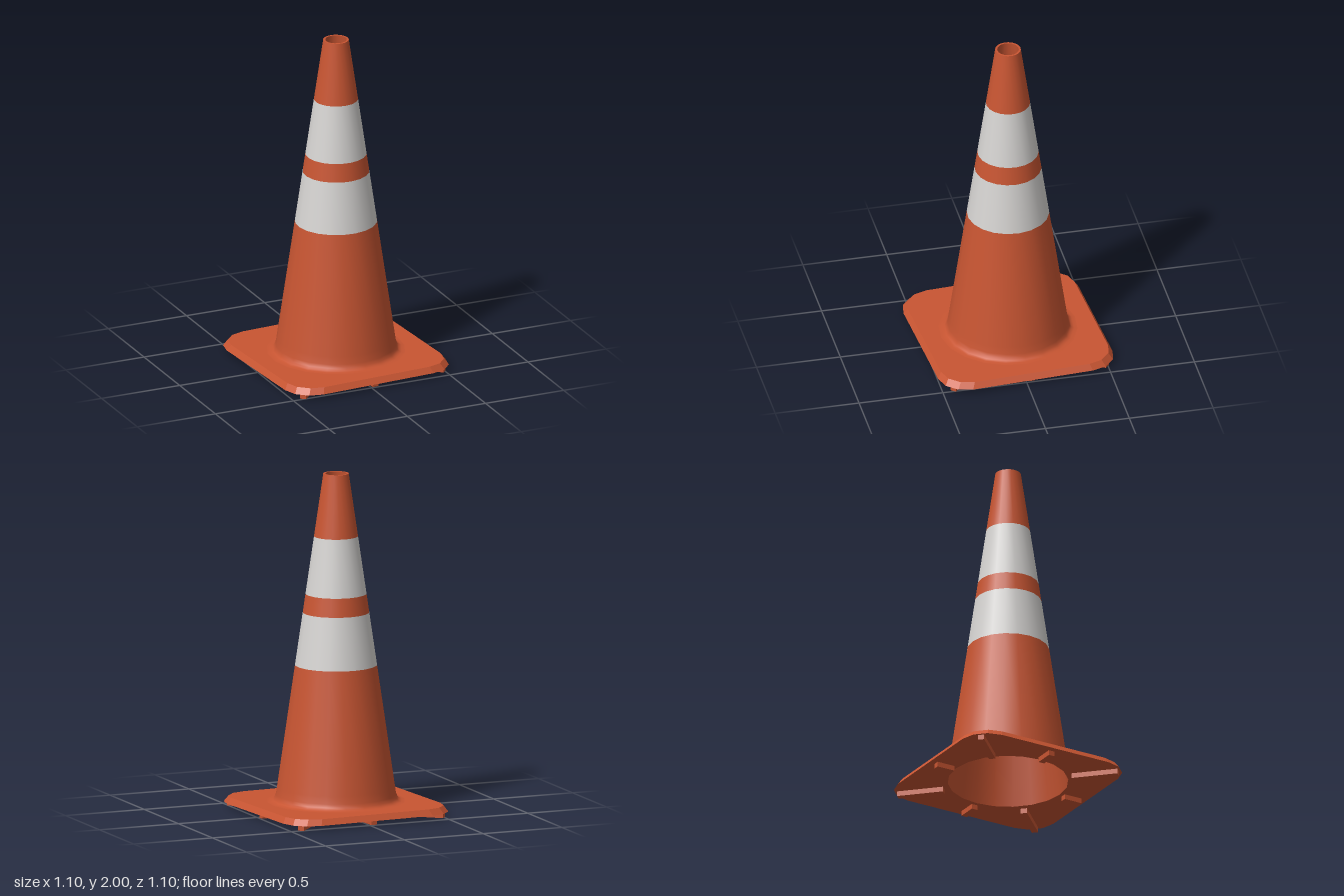
import * as THREE from 'three';

const SIDES = 20;
const TWIST = 0.062; // the whole cone is turned slightly about its axis
const BASE_Y = 0.03, BASE_TOP = 0.065;

const orange = new THREE.MeshStandardMaterial({ color: 0xc85532 });
orange.name = 'orange';
const white = new THREE.MeshStandardMaterial({ color: 0xd6d4d2 });
white.name = 'white';

// outer radius of the tapering wall at height y
const radiusAt = (y) => 0.075 + (2 - y) * 0.1466;

function lathe(name, points, material) {
  const profile = points.map(([r, y]) => new THREE.Vector2(r, y));
  const mesh = new THREE.Mesh(new THREE.LatheGeometry(profile, SIDES), material);
  mesh.name = name;
  return mesh;
}

const wall = (name, y0, y1, material) =>
  lathe(name, [[radiusAt(y0), y0], [radiusAt(y1), y1]], material);

// square plate with rounded corners, sloping rim and a round opening
function basePlate() {
  const half = 0.529, round = 0.166, depth = BASE_TOP - BASE_Y;
  const outline = [];
  for (let corner = 0; corner < 4; corner++) {
    for (let i = 0; i < 4; i++) {
      const a = corner * Math.PI / 2 + i * Math.PI / 6;
      const c = (corner + 0.5) * Math.PI / 2;
      const d = (half - round) * Math.SQRT2;
      outline.push(new THREE.Vector2(
        Math.cos(c) * d + Math.cos(a) * round,
        Math.sin(c) * d + Math.sin(a) * round));
    }
  }
  const opening = [];
  for (let i = 0; i < SIDES; i++) {
    const a = -i / SIDES * Math.PI * 2;
    opening.push(new THREE.Vector2(Math.cos(a) * 0.352, Math.sin(a) * 0.352));
  }
  const shape = new THREE.Shape(outline);
  shape.holes.push(new THREE.Path(opening));
  const geometry = new THREE.ExtrudeGeometry(shape, { depth, bevelEnabled: false });
  // draw the top of the rim inwards
  const p = geometry.attributes.position;
  for (let i = 0; i < p.count; i++) {
    if (p.getZ(i) > depth / 2 && Math.hypot(p.getX(i), p.getY(i)) > 0.45) {
      p.setXY(i, p.getX(i) * 0.957, p.getY(i) * 0.957);
    }
  }
  geometry.computeVertexNormals();
  geometry.rotateX(-Math.PI / 2);
  geometry.translate(0, BASE_Y, 0);
  const mesh = new THREE.Mesh(geometry, orange);
  mesh.name = 'basePlate';
  return mesh;
}

// radial ribs the plate rests on: long at the corners, short at the sides
function feet() {
  const group = new THREE.Group();
  group.name = 'feet';
  for (let i = 0; i < 8; i++) {
    const [r0, r1] = i % 2 ? [0.385, 0.66] : [0.375, 0.49];
    const geometry = new THREE.BoxGeometry(r1 - r0, BASE_Y, 0.038);
    geometry.translate((r0 + r1) / 2, BASE_Y / 2, 0);
    geometry.rotateY(i * Math.PI / 4);
    const rib = new THREE.Mesh(geometry, orange);
    rib.name = i % 2 ? 'cornerFoot' : 'sideFoot';
    group.add(rib);
  }
  return group;
}

export function createModel() {
  const model = new THREE.Group();
  model.name = 'trafficCone';
  model.add(
    basePlate(),
    feet(),
    // fillet flowing from the plate into the lower wall
    lathe('lowerBody', [[0.405, BASE_TOP], [0.385, 0.067], [0.37, 0.073], [0.36, 0.085],
      [radiusAt(0.105), 0.105], [radiusAt(0.15), 0.15], [radiusAt(0.87), 0.87]], orange),
    wall('lowerBand', 0.87, 1.18, white),
    wall('middleBody', 1.18, 1.29, orange),
    wall('upperBand', 1.29, 1.63, white),
    wall('upperBody', 1.63, 2, orange),
    lathe('topRim', [[0.075, 2], [0.063, 2]], orange),
    lathe('innerWall', [[0.063, 2], [0.352, BASE_Y]], orange),
  );
  model.rotation.y = TWIST;
  return model;
}
